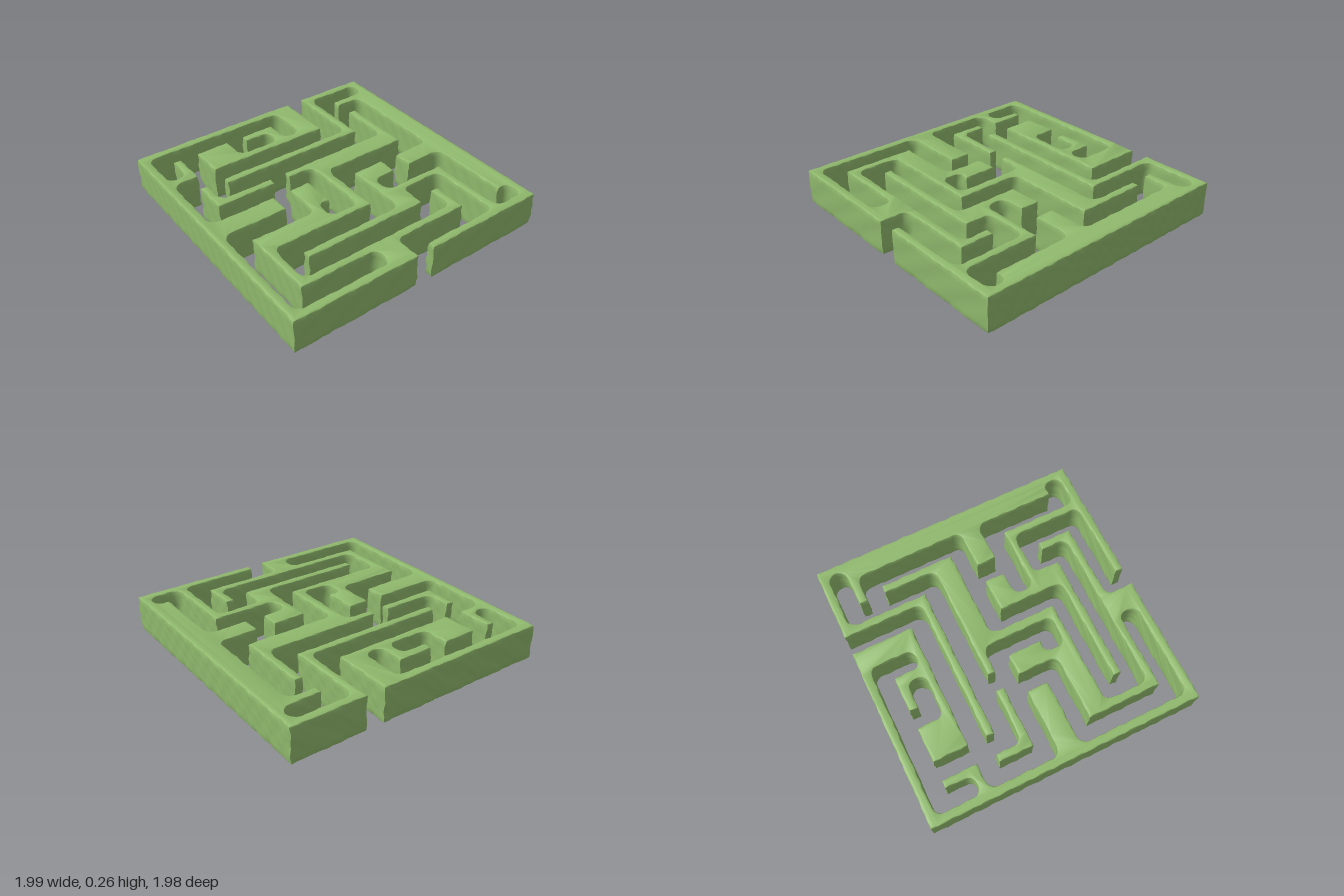
import * as THREE from 'three';
import { mergeVertices, toCreasedNormals } from 'three/addons/utils/BufferGeometryUtils.js';

const BOTTOM = 0.012, TOP = 0.268, BEVEL = 0.01, STEP = 0.025;

// Right-angled wall outlines seen from above. x and z alternate: each number
// is where the next straight run ends, and the last run returns to the start.
const OUTLINES = {
  northHedge: [
    -0.99, -0.99, 0.99, -0.07, 0.935, -0.645, 0.41, -0.32, 0.6, 0.6, 0.545, -0.17,
    0.07, -0.41, 0.21, -0.23, 0.36, -0.7, 0.93, -0.93, 0.8, -0.84, 0.21, -0.55,
    0.07, -0.84, -0.74, -0.645, -0.8, -0.93, -0.93, -0.51, -0.36, 0.6, -0.415, -0.455,
  ],
  southHedge: [
    -0.605, -0.7, -0.07, -0.035, 0.41, 0.735, 0.735, -0.455, 0.545, -0.51, 0.79, 0.06,
    0.99, 0.985, -0.99, -0.32, -0.55, 0.6, -0.8, 0.35, -0.605, 0.03, -0.74, 0.22,
    -0.8, -0.035, -0.605, -0.17, -0.93, 0.925, -0.605, 0.79, -0.8, 0.735, -0.55, 0.925,
    -0.03, 0.445, 0.12, 0.925, 0.93, 0.225, 0.79, 0.79, 0.26, 0.31, -0.03, 0.16,
    0.21, 0.25, 0.36, 0.03, -0.165, 0.22, -0.22, -0.645,
  ],
  hookHedge: [-0.22, 0.35, -0.165, 0.79, -0.41, 0.735],
};

// Corner points of an outline
function corners(run) {
  const points = [];
  for (let i = 0; i < run.length; i += 2) {
    points.push(new THREE.Vector2(run[i], run[i + 1]));
    points.push(new THREE.Vector2(run[(i + 2) % run.length], run[i + 1]));
  }
  return points;
}

// Closely spaced outline with its inner corners rounded
function hedgeOutline(run) {
  const c = corners(run), n = c.length, result = [];
  const addLine = (to) => {
    const from = result[result.length - 1];
    if (from) {
      const count = Math.max(1, Math.round(from.distanceTo(to) / STEP));
      for (let k = 1; k < count; k++) result.push(from.clone().lerp(to, k / count));
    }
    result.push(to);
  };
  for (let i = 0; i < n; i++) {
    const p = c[i];
    const toPrev = c[(i + n - 1) % n].clone().sub(p), toNext = c[(i + 1) % n].clone().sub(p);
    const inner = toPrev.cross(toNext) > 0;
    if (!inner) { addLine(p.clone()); continue; }
    const r = Math.min(0.06, toPrev.length() * 0.48, toNext.length() * 0.48);
    const a = p.clone().addScaledVector(toPrev.normalize(), r);
    const b = p.clone().addScaledVector(toNext.normalize(), r);
    const center = a.clone().add(b).sub(p);
    addLine(a);
    for (let k = 1; k <= 5; k++) {
      const t = (k / 5) * Math.PI / 2;
      result.push(center.clone()
        .addScaledVector(a.clone().sub(center), Math.cos(t))
        .addScaledVector(b.clone().sub(center), Math.sin(t)));
    }
  }
  // Fill the closing run without repeating the start
  addLine(result[0].clone());
  result.pop();
  return result.map((p) => new THREE.Vector2(p.x, -p.y));
}

// Smooth leafy unevenness from a few crossed waves
function bump(x, y, z, seed) {
  return 0.5 * Math.sin(47 * x + 31 * y + 19 * z + seed)
    + 0.3 * Math.sin(-29 * x + 67 * y + 53 * z + 2.3 * seed)
    + 0.3 * Math.sin(83 * x - 59 * y - 71 * z + 4.1 * seed);
}

function hedgeGeometry(run) {
  const raw = new THREE.ExtrudeGeometry(new THREE.Shape(hedgeOutline(run)), {
    depth: TOP - BOTTOM - 2 * BEVEL, steps: 7,
    bevelEnabled: true, bevelThickness: BEVEL, bevelSize: BEVEL, bevelOffset: -BEVEL, bevelSegments: 2,
  });
  raw.rotateX(-Math.PI / 2);
  raw.translate(0, BOTTOM + BEVEL, 0);
  raw.deleteAttribute('uv');
  raw.deleteAttribute('normal');
  raw.clearGroups();
  const geometry = mergeVertices(raw, 1e-4);
  const pos = geometry.attributes.position;
  for (let i = 0; i < pos.count; i++) {
    const x = pos.getX(i), y = pos.getY(i), z = pos.getZ(i);
    pos.setX(i, x + 0.0045 * bump(x, y, z, 1));
    pos.setZ(i, z + 0.0045 * bump(x, y, z, 5));
  }
  return toCreasedNormals(geometry, 0.7);
}

export function createModel() {
  const leafGreen = new THREE.MeshStandardMaterial({ color: 0x8fb86c });
  leafGreen.name = 'leaf green';
  const maze = new THREE.Group();
  maze.name = 'hedgeMaze';
  for (const [name, run] of Object.entries(OUTLINES)) {
    const hedge = new THREE.Mesh(hedgeGeometry(run), leafGreen);
    hedge.name = name;
    maze.add(hedge);
  }
  return maze;
}
